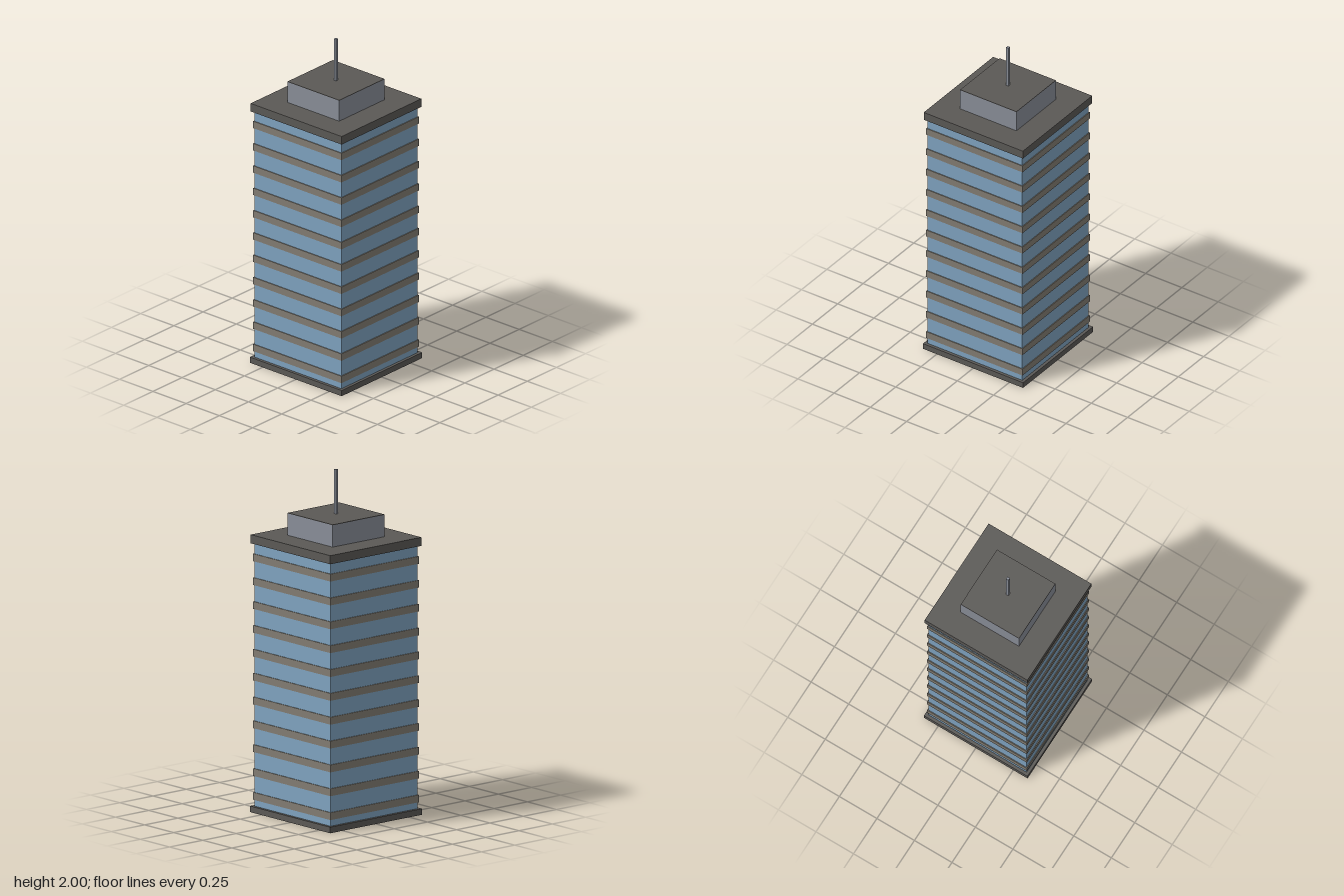
import * as THREE from 'three';

const mat = (color) => new THREE.MeshStandardMaterial({ color, flatShading: true });

export function createModel() {
  const model = new THREE.Group();
  const glass = mat(0x7fa3c0);
  const band = mat(0x827c72);
  const dark = mat(0x5b5956);
  const metal = mat(0x898e98);

  // Square block given by half width, bottom and top heights
  const block = (name, half, y0, y1, material) => {
    const mesh = new THREE.Mesh(new THREE.BoxGeometry(half * 2, y1 - y0, half * 2), material);
    mesh.position.y = (y0 + y1) / 2;
    mesh.name = name;
    model.add(mesh);
  };

  // Square outline, used for the plinth and its opening
  const square = (h, Type) => new Type([[-h, -h], [h, -h], [h, h], [-h, h]].map(([x, y]) => new THREE.Vector2(x, y)));

  // Plinth frame around the foot of the tower
  const frame = square(0.345, THREE.Shape);
  frame.holes.push(square(0.327, THREE.Path));
  const plinthGeometry = new THREE.ExtrudeGeometry(frame, { depth: 0.035, bevelEnabled: false });
  plinthGeometry.rotateX(-Math.PI / 2);
  const plinth = new THREE.Mesh(plinthGeometry, dark);
  plinth.name = 'plinth';
  model.add(plinth);

  // Floor slab set inside the glass walls
  block('floorSlab', 0.312, 0, 0.03, dark);

  // Glass tower with a band at each storey
  block('glassTower', 0.327, 0.003, 1.565, glass);
  for (let i = 0; i < 11; i++) {
    const y = 0.072 + i * 0.1386;
    block(`floorBand${i + 1}`, 0.332, y, y + 0.043, band);
  }

  // Roof slab, plant room with its dark roof, and mast
  block('roofSlab', 0.342, 1.562, 1.612, dark);
  block('plantRoom', 0.194, 1.612, 1.739, metal);
  block('plantRoomRoof', 0.194, 1.739, 1.742, dark);
  block('mast', 0.008, 1.742, 2, metal);

  return model;
}
